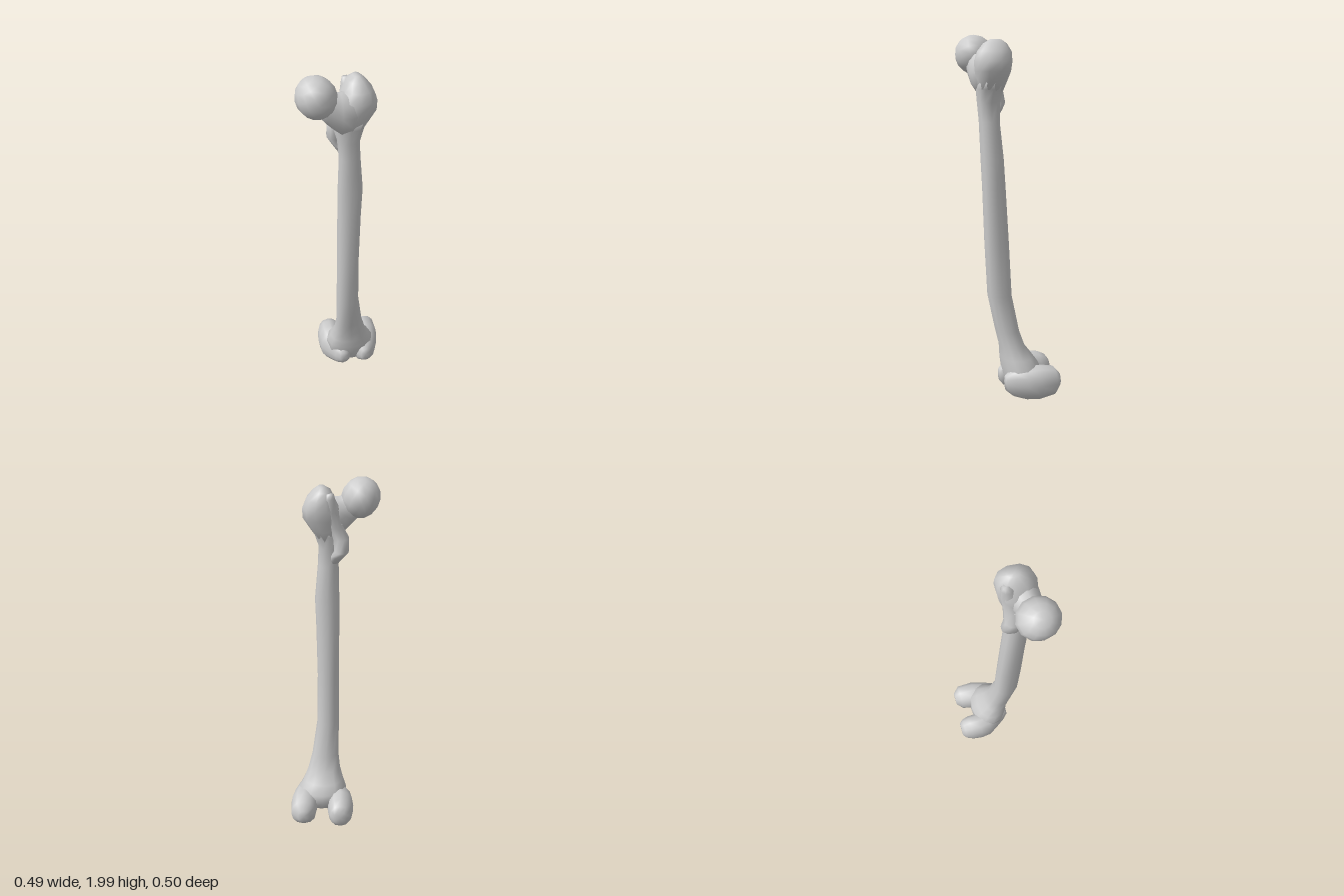
import * as THREE from 'three';

const AXES = { x: ['x', 'y', 'z'], y: ['y', 'z', 'x'], z: ['z', 'x', 'y'] };

// Closed skin over cross-sections. Each ring is [w, u0, u1, v0, v1]: position
// along the axis, then the extents on the next two axes in cyclic order.
function loft(axis, rings, sides = 12, power = 1) {
  const [w, u, v] = AXES[axis];
  const pos = [], index = [];
  const add = (pw, pu, pv) => {
    const p = new THREE.Vector3();
    p[w] = pw; p[u] = pu; p[v] = pv;
    pos.push(p.x, p.y, p.z);
  };
  const bulge = (t) => Math.sign(t) * Math.abs(t) ** power;
  for (const [pw, u0, u1, v0, v1] of rings) {
    for (let j = 0; j < sides; j++) {
      const a = (j / sides) * Math.PI * 2;
      add(pw, (u0 + u1) / 2 + ((u1 - u0) / 2) * bulge(Math.cos(a)),
        (v0 + v1) / 2 + ((v1 - v0) / 2) * bulge(Math.sin(a)));
    }
  }
  for (let i = 0; i < rings.length - 1; i++) {
    for (let j = 0; j < sides; j++) {
      const k = (j + 1) % sides;
      const a = i * sides + j, b = i * sides + k;
      index.push(a, b, b + sides, a, b + sides, a + sides);
    }
  }
  // end caps
  const last = rings.length - 1, base = rings.length * sides;
  for (const r of [rings[0], rings[last]]) add(r[0], (r[1] + r[2]) / 2, (r[3] + r[4]) / 2);
  for (let j = 0; j < sides; j++) {
    const k = (j + 1) % sides;
    index.push(base, k, j, base + 1, last * sides + j, last * sides + k);
  }
  const geo = new THREE.BufferGeometry();
  geo.setAttribute('position', new THREE.Float32BufferAttribute(pos, 3));
  geo.setIndex(index);
  geo.computeVertexNormals();
  return geo;
}

export function createModel() {
  const bone = new THREE.Group();
  bone.name = 'thighBone';
  const material = new THREE.MeshStandardMaterial({ color: 0xcccccc, roughness: 0.8 });
  const part = (name, geometry) => {
    const mesh = new THREE.Mesh(geometry, material);
    mesh.name = name;
    bone.add(mesh);
    return mesh;
  };

  // Bowed shaft, flaring into the knee end: y, z0, z1, x0, x1
  part('shaft', loft('y', [
    [0.06, -0.08, 0.0, 0.0, 0.12],
    [0.09, -0.125, 0.035, -0.05, 0.18],
    [0.15, -0.155, 0.052, -0.08, 0.2],
    [0.2, -0.15, 0.06, -0.08, 0.195],
    [0.25, -0.115, 0.065, -0.062, 0.165],
    [0.31, -0.07, 0.068, -0.045, 0.14],
    [0.4, -0.04, 0.09, -0.036, 0.115],
    [0.6, -0.005, 0.13, -0.04, 0.085],
    [0.9, 0.01, 0.145, -0.04, 0.08],
    [1.2, 0.03, 0.155, -0.04, 0.085],
    [1.36, 0.042, 0.163, -0.04, 0.09],
    [1.55, 0.06, 0.17, -0.036, 0.073],
    [1.65, 0.055, 0.178, -0.045, 0.068],
    [1.72, 0.04, 0.182, -0.065, 0.09],
    [1.78, 0.03, 0.188, -0.06, 0.125],
  ], 12, 0.88));

  // Greater trochanter, the knob on the outer side
  part('greaterTrochanter', loft('y', [
    [1.69, 0.05, 0.17, -0.03, 0.07],
    [1.75, 0.03, 0.185, -0.05, 0.11],
    [1.81, 0.012, 0.2, -0.05, 0.148],
    [1.86, 0.006, 0.205, -0.04, 0.15],
    [1.91, 0.008, 0.19, -0.015, 0.128],
    [1.95, 0.03, 0.155, 0.005, 0.095],
    [1.97, 0.06, 0.12, 0.035, 0.07],
  ], 11, 0.9));

  // Ball of the hip joint
  const head = part('head', new THREE.SphereGeometry(0.105, 12, 8));
  head.scale.set(0.95, 1, 1);
  head.rotation.z = 0.5;
  head.position.set(-0.147, 1.895, 0.145);

  // Neck joining ball and shaft: x, y0, y1, z0, z1
  part('neck', loft('x', [
    [-0.14, 1.8, 1.93, 0.09, 0.2],
    [-0.1, 1.755, 1.925, 0.085, 0.205],
    [-0.07, 1.725, 1.912, 0.08, 0.205],
    [-0.03, 1.69, 1.905, 0.06, 0.208],
    [0.02, 1.69, 1.91, 0.045, 0.208],
    [0.07, 1.74, 1.87, 0.06, 0.18],
  ]));

  // Lesser trochanter with the crest that climbs to the greater one
  part('lesserTrochanter', loft('y', [
    [1.57, 0.06, 0.11, -0.035, 0.01],
    [1.61, 0.03, 0.11, -0.065, 0.01],
    [1.645, 0.005, 0.11, -0.088, -0.01],
    [1.71, 0.02, 0.12, -0.088, 0.0],
    [1.77, 0.025, 0.12, -0.055, 0.03],
    [1.85, 0.018, 0.11, -0.025, 0.05],
    [1.92, 0.02, 0.09, -0.015, 0.05],
    [1.945, 0.03, 0.06, -0.008, 0.03],
  ], 9));

  // Knuckles of the knee: z, x0, x1, y0, y1
  part('innerCondyle', loft('z', [
    [-0.25, -0.08, 0.0, 0.08, 0.165],
    [-0.23, -0.1, 0.018, 0.048, 0.193],
    [-0.19, -0.115, 0.029, 0.02, 0.213],
    [-0.13, -0.121, 0.03, 0.006, 0.222],
    [-0.07, -0.113, 0.045, 0.006, 0.215],
    [-0.01, -0.075, 0.055, 0.03, 0.205],
    [0.035, -0.045, 0.05, 0.058, 0.185],
    [0.06, -0.02, 0.035, 0.09, 0.16],
  ], 12, 0.9));
  part('outerCondyle', loft('z', [
    [-0.235, 0.135, 0.205, 0.085, 0.165],
    [-0.2, 0.1, 0.243, 0.045, 0.205],
    [-0.11, 0.085, 0.245, 0.025, 0.218],
    [-0.04, 0.075, 0.228, 0.028, 0.21],
    [0.025, 0.075, 0.202, 0.048, 0.2],
    [0.065, 0.11, 0.168, 0.085, 0.17],
  ], 12, 0.9));

  return bone;
}
